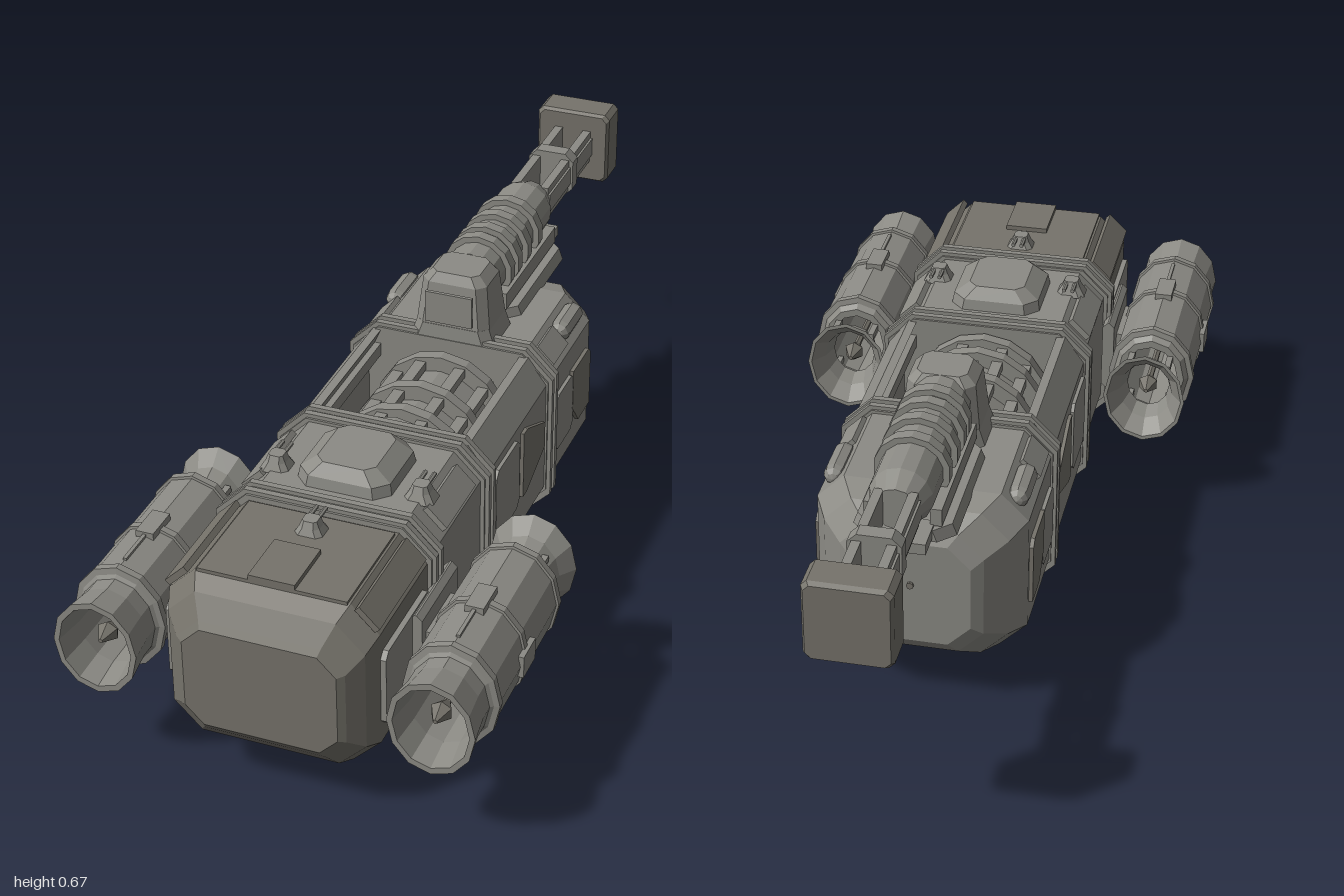
import * as THREE from 'three';

const hullMat = new THREE.MeshStandardMaterial({ color: 0x8c8b85, flatShading: true });
hullMat.name = 'hull grey';
const darkMat = new THREE.MeshStandardMaterial({ color: 0x76736b, flatShading: true });
darkMat.name = 'dark grey';

export function createModel() {
  const root = new THREE.Group();

  const add = (name, geo, mat = hullMat, parent = root) => {
    const m = new THREE.Mesh(geo, mat);
    m.name = name;
    parent.add(m);
    return m;
  };
  const box = (name, w, h, d, x, y, z, mat, parent) =>
    add(name, new THREE.BoxGeometry(w, h, d).translate(x, y, z), mat, parent);

  // Chamfered rectangle, counter-clockwise
  const octagon = (hw, y0, y1, c) => [
    [hw, y0 + c], [hw, y1 - c], [hw - c, y1], [c - hw, y1],
    [-hw, y1 - c], [-hw, y0 + c], [c - hw, y0], [hw - c, y0]];

  // Closed loft through chamfered sections [z, halfWidth, y0, y1, chamfer], z increasing
  const loft = (sections) => {
    const rings = sections.map(([z, ...s]) => octagon(...s).map(([x, y]) => [x, y, z]));
    const pos = [], tri = (...p) => p.forEach((v) => pos.push(...v));
    for (let k = 0; k < rings.length - 1; k++) {
      const a = rings[k], b = rings[k + 1];
      for (let i = 0; i < 8; i++) {
        const j = (i + 1) % 8;
        tri(a[i], a[j], b[j]);
        tri(a[i], b[j], b[i]);
      }
    }
    const first = rings[0], last = rings[rings.length - 1];
    for (let i = 1; i < 7; i++) {
      tri(first[0], first[i + 1], first[i]);
      tri(last[0], last[i], last[i + 1]);
    }
    const g = new THREE.BufferGeometry();
    g.setAttribute('position', new THREE.Float32BufferAttribute(pos, 3));
    g.computeVertexNormals();
    return g;
  };
  // Stacked block [y, halfWidth, halfDepth, chamfer], upright
  const block = (sections) => loft(sections.map(([y, hw, hd, c]) => [y, hw, -hd, hd, c])).rotateX(-Math.PI / 2);

  // Cylinder along z between z0 and z1
  const rod = (r0, r1, z0, z1, x, y, sides = 12) =>
    new THREE.CylinderGeometry(r1, r0, z1 - z0, sides).rotateX(Math.PI / 2).translate(x, y, (z0 + z1) / 2);

  const extrude = (pts, depth) => new THREE.ExtrudeGeometry(
    new THREE.Shape(pts.map(([x, y]) => new THREE.Vector2(x, y))), { depth, bevelEnabled: false });

  // Plate on both flanks from [z, y] corners
  const sidePlates = (name, pts, x, depth, mat) => {
    for (const s of [1, -1])
      add(name, extrude(pts.map(([z, y]) => [-s * z, y]), depth).rotateY(s * Math.PI / 2).translate(s * x, 0, 0), mat);
  };
  const panel = (z0, z1, y0, y1, c = 0.015) =>
    octagon((z1 - z0) / 2, y0, y1, c).map(([z, y]) => [z + (z0 + z1) / 2, y]);

  // Hull sections
  add('noseHull', loft([
    [0.64, 0.225, 0.1, 0.485, 0.06], [0.92, 0.225, 0.1, 0.485, 0.06],
    [0.96, 0.21, 0.115, 0.46, 0.06], [0.99, 0.18, 0.15, 0.415, 0.05], [1.0, 0.165, 0.165, 0.4, 0.04]]), darkMat);
  add('foreHull', loft([[0.33, 0.225, 0.1, 0.49, 0.06], [0.64, 0.225, 0.1, 0.49, 0.06]]));
  add('tailHull', loft([
    [-0.48, 0.13, 0.17, 0.42, 0.05], [-0.465, 0.155, 0.145, 0.445, 0.055], [-0.42, 0.2, 0.115, 0.475, 0.06],
    [-0.36, 0.23, 0.1, 0.49, 0.06], [-0.08, 0.23, 0.1, 0.49, 0.06]]));

  // Open bay with walls and floor
  add('bayHull', extrude([
    [-0.17, 0.1], [0.17, 0.1], [0.23, 0.16], [0.23, 0.43], [0.185, 0.49], [0.165, 0.49],
    [0.195, 0.42], [0.195, 0.2], [-0.195, 0.2], [-0.195, 0.42], [-0.165, 0.49], [-0.185, 0.49],
    [-0.23, 0.43], [-0.23, 0.16]], 0.41).translate(0, 0, -0.08));
  add('bayDrum', rod(0.12, 0.12, -0.07, 0.32, 0, 0.33, 16));
  for (const z of [-0.01, 0.12, 0.22, 0.28]) add('drumRing', rod(0.155, 0.155, z - 0.014, z + 0.014, 0, 0.33, 16));
  for (const s of [1, -1]) {
    for (const a of [0.35, 0.85]) {
      const x = 0.135 * Math.sin(a) * s, y = 0.33 + 0.135 * Math.cos(a);
      box('drumRib', 0.025, 0.02, 0.32, x, y, 0.13);
    }
    box('bayRail', 0.03, 0.03, 0.38, 0.18 * s, 0.44, 0.12);
  }

  // Frames around the hull: a broad band and a raised centre
  for (const z of [0.64, 0.33, -0.08]) {
    add('frameBand', loft([[z - 0.026, 0.234, 0.09, 0.497, 0.062], [z + 0.026, 0.234, 0.09, 0.497, 0.062]]));
    for (const d of [-0.014, 0.014])
      add('frameRidge', loft([[z + d - 0.007, 0.243, 0.075, 0.506, 0.065], [z + d + 0.007, 0.243, 0.075, 0.506, 0.065]]));
  }

  // Side panels and chamfer plates
  sidePlates('squarePanel', panel(0.14, 0.29, 0.235, 0.41), 0.23, 0.008);
  sidePlates('wedgePanel', [[0.115, 0.24], [0.115, 0.405], [0.09, 0.405], [-0.03, 0.35], [-0.03, 0.285], [0.09, 0.24]], 0.23, 0.008, darkMat);
  sidePlates('tailPanel', panel(-0.23, -0.11, 0.22, 0.365), 0.23, 0.008);
  sidePlates('tailDoor', [[-0.225, 0.27], [-0.27, 0.215], [-0.35, 0.215], [-0.35, 0.355], [-0.335, 0.37], [-0.225, 0.37]], 0.23, 0.009, darkMat);
  sidePlates('nosePanel', panel(0.68, 0.92, 0.2, 0.38), 0.225, 0.012);
  for (const s of [1, -1]) {
    const chamfer = (name, len, w, z, mat) => {
      const m = box(name, w, 0.014, len, 0, 0, 0, mat);
      m.position.set(0.203 * s, 0.463, z);
      m.rotation.z = -s * Math.PI / 4;
    };
    chamfer('noseChamferPlate', 0.25, 0.06, 0.805, darkMat);
    chamfer('foreChamferPlate', 0.17, 0.06, 0.48);
    chamfer('tailChamferPlate', 0.1, 0.055, -0.165);
    // Lozenge fairing on the tail shoulder
    const f = add('shoulderFairing', new THREE.CapsuleGeometry(0.025, 0.08, 3, 8).rotateX(Math.PI / 2));
    f.position.set(0.2 * s, 0.465, -0.28);
  }

  // Top hatch, belly pod and nose deck
  add('topHatch', block([[0.485, 0.105, 0.1, 0.03], [0.515, 0.1, 0.095, 0.03], [0.542, 0.065, 0.075, 0.02]]).translate(0, 0, 0.485));
  add('bellyPod', block([[0.008, 0.07, 0.085, 0.025], [0.055, 0.112, 0.112, 0.03], [0.105, 0.112, 0.112, 0.03]]).translate(0, 0, 0.485));
  box('bellyPlate', 0.1, 0.01, 0.12, 0, 0.005, 0.485);
  box('noseDeck', 0.32, 0.008, 0.25, 0, 0.487, 0.8, darkMat);
  box('noseLatch', 0.1, 0.014, 0.13, 0, 0.495, 0.86, darkMat);
  for (const [x, z] of [[0, 0.725], [0.16, 0.53], [-0.16, 0.53]]) {
    add('cleatBase', block([[0.485, 0.034, 0.03, 0.012], [0.505, 0.022, 0.022, 0.01], [0.52, 0.016, 0.016, 0.006]]).translate(x, 0, z));
    for (const d of [-0.01, 0.01]) add('cleatPin', rod(0.005, 0.005, z - 0.05, z, x + d, 0.514, 6));
  }
  add('tailLamp', rod(0.008, 0.008, -0.486, -0.47, 0, 0.315, 8), darkMat);

  // Turret: mount, cab and boom
  add('turretMount', block([[0.485, 0.11, 0.18, 0.035], [0.512, 0.1, 0.18, 0.035]]).translate(0, 0, -0.375));
  box('mountTongue', 0.13, 0.025, 0.09, 0, 0.505, -0.57);
  add('cabBase', block([[0.485, 0.1, 0.075, 0.02], [0.53, 0.085, 0.072, 0.02]]).translate(0, 0, -0.13));
  add('turretCab', block([[0.51, 0.088, 0.073, 0.02], [0.63, 0.075, 0.06, 0.02], [0.652, 0.055, 0.048, 0.015]]).translate(0, 0, -0.13));
  box('cabScreen', 0.11, 0.075, 0.008, 0, 0.58, -0.05);
  box('cabScreenStem', 0.03, 0.03, 0.03, 0, 0.57, -0.062);
  add('boomBarrel', rod(0.068, 0.068, -0.55, -0.18, 0, 0.585, 14));
  add('boomCollar', rod(0.048, 0.068, -0.6, -0.55, 0, 0.585, 14));
  for (const z of [-0.25, -0.3, -0.365, -0.44]) add('barrelRing', rod(0.082, 0.082, z - 0.014, z + 0.014, 0, 0.585, 14));
  for (const s of [1, -1]) {
    box('barrelRail', 0.025, 0.04, 0.34, 0.07 * s, 0.535, -0.37);
    box('boomRail', 0.02, 0.08, 0.33, 0.036 * s, 0.585, -0.755);
    box('boomRailSpine', 0.008, 0.045, 0.33, 0.047 * s, 0.585, -0.755);
  }
  add('boomBand', loft([[-0.78, 0.056, 0.53, 0.64, 0.02], [-0.745, 0.056, 0.53, 0.64, 0.02]]));
  add('endPlate', loft([
    [-1, 0.085, 0.495, 0.665, 0.012], [-0.99, 0.091, 0.49, 0.671, 0.012],
    [-0.92, 0.091, 0.49, 0.671, 0.012], [-0.912, 0.085, 0.495, 0.665, 0.012]]), darkMat);

  // Engine pods: hollow lathed shells with an oval section
  const lathe = (pts) => new THREE.LatheGeometry(pts.map(([r, z]) => new THREE.Vector2(r, z)), 12)
    .rotateX(Math.PI / 2).scale(1, 1.2, 1);
  for (const s of [1, -1]) {
    const pod = new THREE.Group();
    pod.name = 'enginePod';
    pod.position.set(0.36 * s, 0.292, 0);
    root.add(pod);
    add('podShell', lathe([
      [0.065, 0.505], [0.08, 0.505], [0.097, 0.525], [0.097, 0.885], [0.083, 0.895], [0.083, 0.93], [0.092, 1],
      [0.08, 1], [0.07, 0.93], [0.068, 0.7], [0.065, 0.505]]), hullMat, pod);
    for (const z of [0.525, 0.72, 0.88])
      add('podBand', lathe([[0.09, z - 0.01], [0.102, z - 0.008], [0.102, z + 0.008], [0.09, z + 0.01]]), hullMat, pod);
    add('exhaustBell', lathe([
      [0.088, 0.4], [0.096, 0.4], [0.07, 0.435], [0.058, 0.475], [0.05, 0.475], [0.062, 0.435], [0.088, 0.4]]), hullMat, pod);
    for (let i = 0; i < 4; i++) {
      const a = Math.PI / 4 + i * Math.PI / 2;
      box('bellStrut', 0.014, 0.014, 0.06, 0.064 * Math.cos(a), 0.075 * Math.sin(a), 0.485, hullMat, pod);
    }
    // Centre shaft with pointed hubs
    add('podShaft', rod(0.008, 0.008, 0.48, 0.95, 0, 0, 6), darkMat, pod);
    for (const z of [0.47, 0.94]) {
      add('hubFront', rod(0.024, 0.005, z, z + 0.035, 0, 0, 6), darkMat, pod);
      add('hubRear', rod(0.005, 0.024, z - 0.035, z, 0, 0, 6), darkMat, pod);
    }
    box('podClamp', 0.04, 0.016, 0.08, 0, 0.118, 0.72, hullMat, pod);
    box('podSeam', 0.008, 0.008, 0.12, 0, 0.117, 0.79, hullMat, pod);
    box('podSideClamp', 0.012, 0.05, 0.07, 0.098 * s, 0, 0.72, hullMat, pod);
    // Mount between pod and hull
    add('podMount', loft([[0.58, 0.014, 0.2, 0.38, 0.012], [0.78, 0.014, 0.2, 0.38, 0.012]]).translate(0.244 * s, 0, 0));
    box('mountPylon', 0.05, 0.08, 0.14, 0.255 * s, 0.29, 0.69);
  }
  return root;
}
